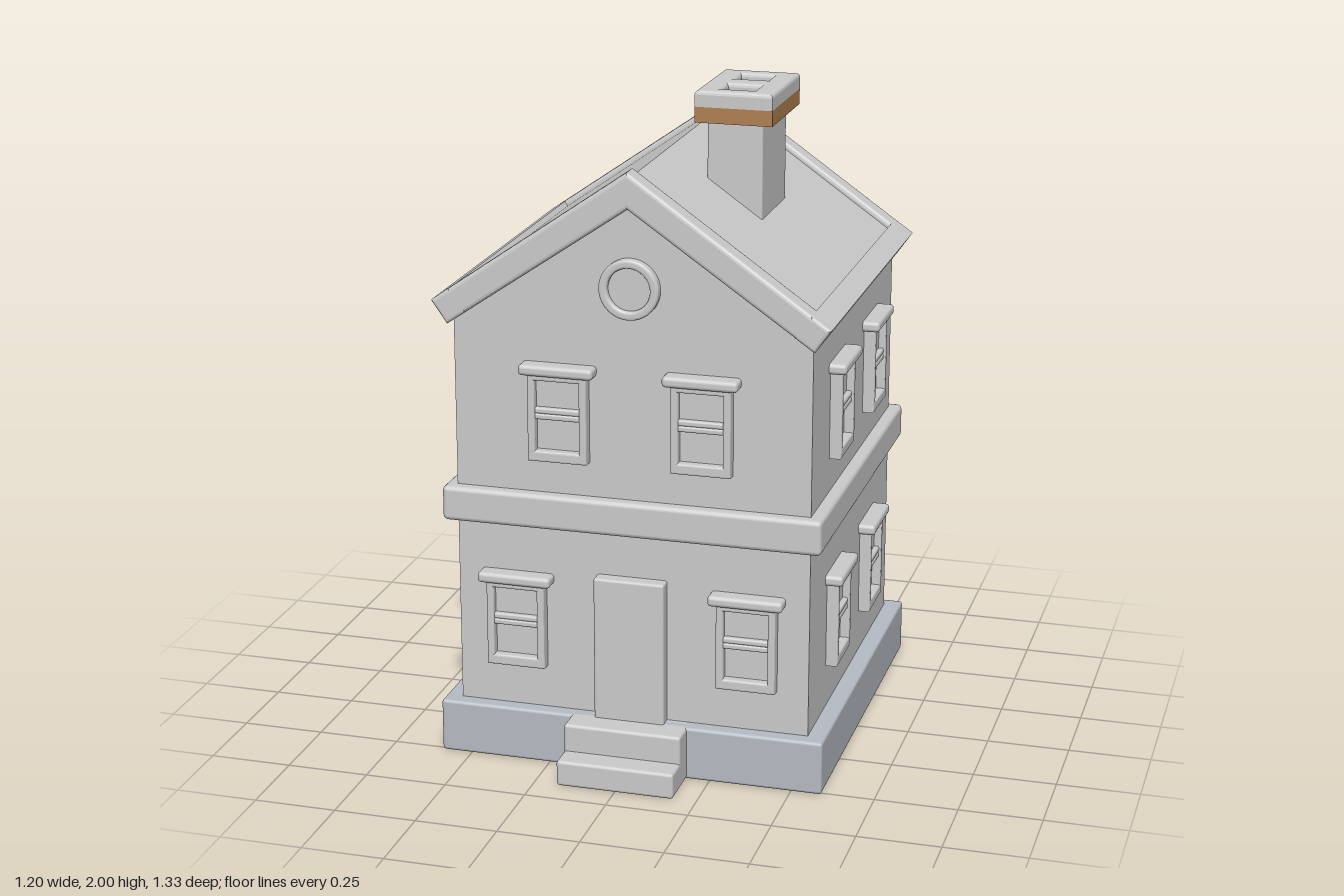
import * as THREE from 'three';
import { RoundedBoxGeometry } from 'three/addons/geometries/RoundedBoxGeometry.js';

const grey = new THREE.MeshStandardMaterial({ color: 0xcccccc });
const slate = new THREE.MeshStandardMaterial({ color: 0xb6bcc4 });
const brown = new THREE.MeshStandardMaterial({ color: 0xb08050 });
const ZC = -0.0725; // middle of the house, behind the steps

function add(parent, name, geometry, material = grey) {
  const mesh = new THREE.Mesh(geometry, material);
  mesh.name = name;
  parent.add(mesh);
  return mesh;
}

// rounded box given by its limits
function box(parent, name, [x0, x1], [y0, y1], [z0, z1], r = 0.01, material = grey) {
  const m = add(parent, name, new RoundedBoxGeometry(x1 - x0, y1 - y0, z1 - z0, 2, r), material);
  m.position.set((x0 + x1) / 2, (y0 + y1) / 2, (z0 + z1) / 2);
  return m;
}

const polygon = (points) => new THREE.Shape(points.map(([x, y]) => new THREE.Vector2(x, y)));

function rect(w, h, x = 0, y = 0) {
  return [[x - w / 2, y - h / 2], [x + w / 2, y - h / 2], [x + w / 2, y + h / 2], [x - w / 2, y + h / 2]];
}

// extrusion from z0 to z1 whose bevel stays inside the outline
function extrude(shape, z0, z1, bevel = 0, curveSegments = 32) {
  const g = new THREE.ExtrudeGeometry(shape, {
    depth: z1 - z0 - 2 * bevel, bevelEnabled: bevel > 0, bevelSize: bevel,
    bevelThickness: bevel, bevelOffset: -bevel, bevelSegments: 3, curveSegments,
  });
  return g.translate(0, 0, z0 + bevel);
}

// window with its sill at the origin, facing +z
function createWindow() {
  const g = new THREE.Group();
  g.name = 'window';
  const frame = polygon(rect(0.18, 0.27, 0, 0.135));
  frame.holes.push(polygon(rect(0.135, 0.215, 0, 0.14)));
  add(g, 'windowFrame', extrude(frame, -0.01, 0.036, 0.006));
  box(g, 'windowPane', [-0.08, 0.08], [0.02, 0.26], [-0.02, 0.008], 0.004);
  box(g, 'upperSash', [-0.07, 0.07], [0.14, 0.255], [-0.01, 0.014], 0.004);
  for (const y of [0.137, 0.155]) {
    box(g, 'sashBar', [-0.071, 0.071], [y - 0.009, y + 0.009], [0, 0.03], 0.006);
  }
  box(g, 'windowLintel', [-0.113, 0.113], [0.264, 0.297], [-0.01, 0.052], 0.012);
  return g;
}

// round gable window facing +z
function createRoundWindow() {
  const g = new THREE.Group();
  g.name = 'roundWindow';
  const ring = new THREE.Shape().absarc(0, 0, 0.09, 0, Math.PI * 2);
  ring.holes.push(new THREE.Path().absarc(0, 0, 0.064, 0, Math.PI * 2, true));
  add(g, 'roundWindowRing', extrude(ring, -0.01, 0.028, 0.008));
  add(g, 'roundWindowPane', new THREE.CylinderGeometry(0.068, 0.068, 0.02, 40).rotateX(Math.PI / 2));
  return g;
}

export function createModel() {
  const house = new THREE.Group();
  house.name = 'house';

  // plinth and front steps
  box(house, 'plinth', [-0.593, 0.593], [0, 0.165], [-0.662, 0.515], 0.01, slate);
  box(house, 'upperStep', [-0.18, 0.18], [0, 0.165], [0.4, 0.588], 0.01);
  box(house, 'lowerStep', [-0.18, 0.18], [0, 0.08], [0.4, 0.665], 0.01);

  // walls with both gables, and the band between the floors
  const walls = polygon([[-0.54, 0.1], [0.54, 0.1], [0.54, 1.38], [0, 1.76], [-0.54, 1.38]]);
  add(house, 'walls', extrude(walls, -0.615, 0.47));
  box(house, 'floorBand', [-0.578, 0.578], [0.745, 0.852], [-0.652, 0.507], 0.015);
  box(house, 'door', [-0.108, 0.108], [0.15, 0.61], [0.4, 0.512], 0.008);

  // roof panels, with a raised rim along gables and eaves
  const roof = new THREE.Group();
  roof.name = 'roof';
  house.add(roof);
  const panels = polygon([[0, 1.82], [-0.565, 1.424], [-0.53, 1.375], [0, 1.735], [0.53, 1.375], [0.565, 1.424]]);
  add(roof, 'roofPanels', extrude(panels, -0.63, 0.48));
  const rim = polygon([[0, 1.842], [-0.598, 1.424], [-0.55, 1.355], [0, 1.733], [0.55, 1.355], [0.598, 1.424]]);
  for (const [z0, z1] of [[0.435, 0.507], [-0.657, -0.585]]) {
    add(roof, 'gableRim', extrude(rim, z0, z1, 0.012));
  }
  for (const s of [1, -1]) {
    const eave = polygon([[0.54 * s, 1.464], [0.598 * s, 1.424], [0.55 * s, 1.355], [0.49 * s, 1.396]]);
    add(roof, 'eaveRim', extrude(eave, -0.657, 0.507, 0.01));
  }

  // chimney with two flues in the cap
  const chimney = new THREE.Group();
  chimney.name = 'chimney';
  house.add(chimney);
  box(chimney, 'chimneyShaft', [0.118, 0.286], [1.55, 1.92], [-0.217, 0.072], 0.006);
  const lower = add(chimney, 'chimneyCapBase', new THREE.BoxGeometry(0.235, 0.047, 0.34), brown);
  lower.position.set(0.202, 1.9285, -0.076);
  const cap = polygon(rect(0.235, 0.34));
  for (const y of [0.078, -0.078]) cap.holes.push(polygon(rect(0.1, 0.082, 0, y)));
  const top = add(chimney, 'chimneyCap', extrude(cap, 1.94, 2, 0.012).rotateX(-Math.PI / 2));
  top.position.set(0.202, 0, -0.076);

  // windows: on each side, offset, wall distance, turn and spacing per floor
  const sides = [
    { turn: 0, wall: 0.47 - ZC, lower: 0.355, upper: 0.217 },
    { turn: Math.PI, wall: 0.615 + ZC, lower: 0.217, upper: 0.217 },
    { turn: Math.PI / 2, wall: 0.54, lower: 0.228, upper: 0.228 },
    { turn: -Math.PI / 2, wall: 0.54, lower: 0.228, upper: 0.228 },
  ];
  for (const side of sides) {
    const face = new THREE.Group();
    face.name = 'wallWindows';
    face.position.z = ZC;
    face.rotation.y = side.turn;
    house.add(face);
    for (const s of [1, -1]) {
      for (const [x, y] of [[side.lower, 0.298], [side.upper, 0.957]]) {
        const w = createWindow();
        w.position.set(s * x, y, side.wall);
        face.add(w);
      }
    }
    if (Math.abs(side.turn) !== Math.PI / 2) {
      const round = createRoundWindow();
      round.position.set(0, 1.495, side.wall);
      face.add(round);
    }
  }
  return house;
}
